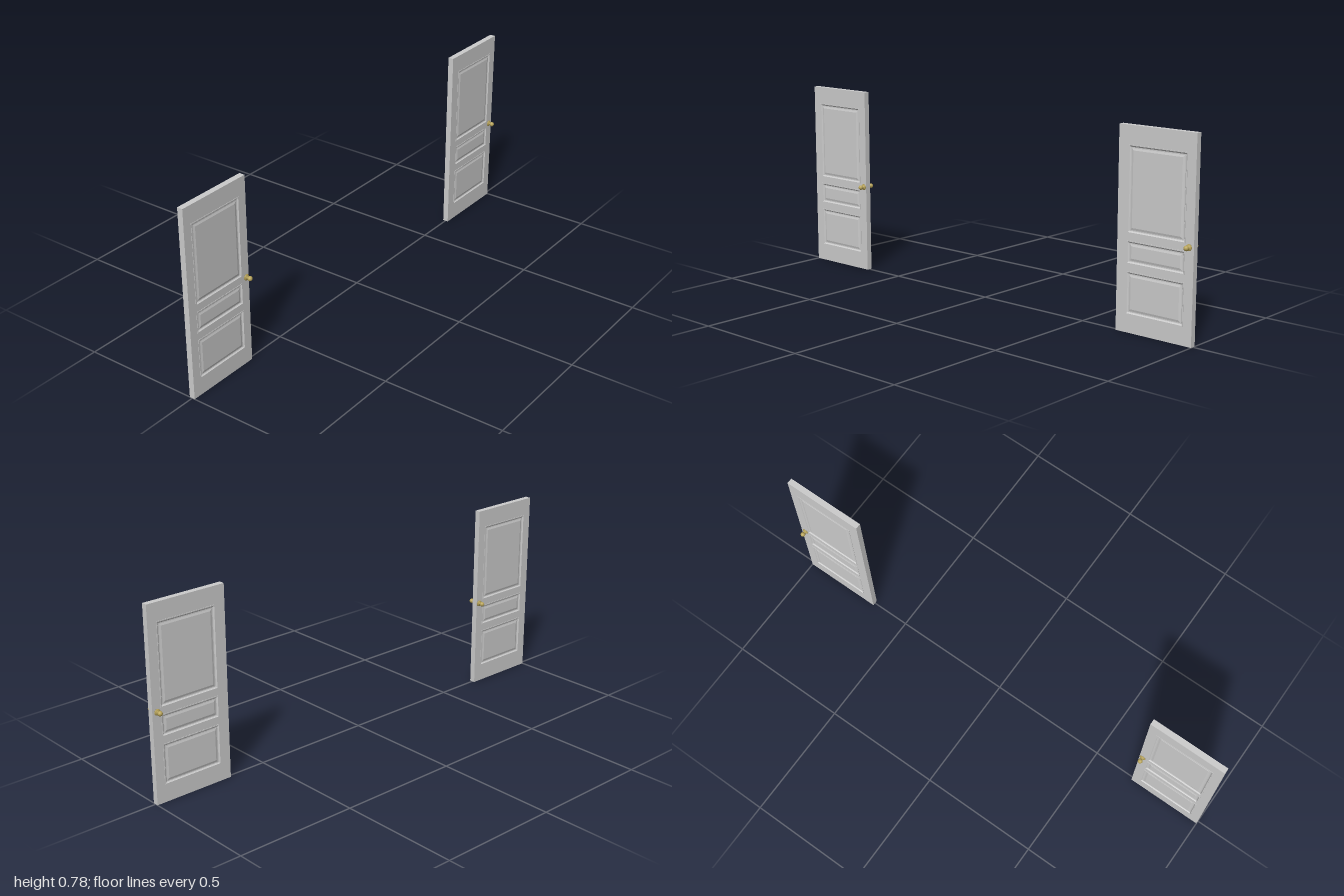
import * as THREE from 'three';

const grey = new THREE.MeshStandardMaterial({ color: 0xcccccc, flatShading: true });
const brass = new THREE.MeshStandardMaterial({ color: 0xb8a45a });

const HEIGHT = 0.776;
const HALF = 0.0118; // half the slab thickness
const KNOB_Y = 0.365;

// bottom and top of each panel opening
const PANELS = [
  ['lowerPanel', 0.07, 0.234],
  ['middlePanel', 0.262, 0.35],
  ['upperPanel', 0.377, 0.705],
];

// moulding section: [inset from the opening, distance from the door's mid-plane]
const MOULDING = [
  [0, HALF - 0.001], [0, 0.0132], [0.004, 0.0132], [0.006, 0.0105],
  [0.009, 0.0085], [0.013, 0.0085], [0.021, 0.0108],
];

const corners = (u0, v0, u1, v1) => [[u0, v0], [u1, v0], [u1, v1], [u0, v1]];

// Moulding and raised field: rectangular rings lofted inward, closed by a flat centre
function panelGeometry(width, height) {
  const pos = [];
  const idx = [];
  for (const [inset, depth] of MOULDING) {
    const a = width / 2 - inset;
    const b = height / 2 - inset;
    for (const [u, v] of corners(-a, -b, a, b)) pos.push(u, v, depth);
  }
  for (let r = 0; r < MOULDING.length - 1; r++) {
    for (let i = 0; i < 4; i++) {
      const j = (i + 1) % 4;
      const a = r * 4 + i, b = r * 4 + j;
      idx.push(a, b, b + 4, a, b + 4, a + 4);
    }
  }
  const c = (MOULDING.length - 1) * 4;
  idx.push(c, c + 1, c + 2, c, c + 2, c + 3);
  const indexed = new THREE.BufferGeometry();
  indexed.setAttribute('position', new THREE.Float32BufferAttribute(pos, 3));
  indexed.setIndex(idx);
  const geometry = indexed.toNonIndexed();
  geometry.computeVertexNormals();
  return geometry;
}

// Rose, neck and ball turned around one axis, pointing along +z
function knobGeometry() {
  const points = [
    [0, 0.011], [0.0125, 0.011], [0.0125, 0.0145], [0.0105, 0.0165],
    [0.005, 0.0175], [0.0045, 0.021],
  ].map(([r, d]) => new THREE.Vector2(r, d));
  for (let i = 0; i <= 10; i++) {
    const t = -1.1 + (i / 10) * (1.1 + Math.PI / 2);
    points.push(new THREE.Vector2(Math.max(0, 0.0098 * Math.cos(t)), 0.0296 + 0.0098 * Math.sin(t)));
  }
  return new THREE.LatheGeometry(points, 24).rotateX(Math.PI / 2);
}

// A door drawn in its own plane: u runs along the width, v is up
function createDoor(name, u0, u1, p0, p1, knobU) {
  const door = new THREE.Group();
  door.name = name;

  // stiles and rails, with an opening for each panel
  const path = (P, ...box) => new P(corners(...box).map(([u, v]) => new THREE.Vector2(u, v)));
  const outline = path(THREE.Shape, u0, 0, u1, HEIGHT);
  for (const [, v0, v1] of PANELS) outline.holes.push(path(THREE.Path, p0, v0, p1, v1));
  const frameGeometry = new THREE.ExtrudeGeometry(outline, { depth: HALF * 2, bevelEnabled: false });
  const frame = new THREE.Mesh(frameGeometry.translate(0, 0, -HALF), grey);
  frame.name = 'doorFrame';
  door.add(frame);

  const knob = knobGeometry();
  for (const [side, turn] of [['left', 0], ['right', Math.PI]]) {
    // panels on this face
    for (const [panelName, v0, v1] of PANELS) {
      const panel = new THREE.Mesh(panelGeometry(p1 - p0, v1 - v0), grey);
      panel.name = `${panelName}_${side}`;
      panel.position.set((p0 + p1) / 2, (v0 + v1) / 2, 0);
      panel.rotation.y = turn;
      door.add(panel);
    }
    // knob on this face
    const handle = new THREE.Mesh(knob, brass);
    handle.name = `knob_${side}`;
    handle.position.set(knobU, KNOB_Y, 0);
    handle.rotation.y = turn;
    door.add(handle);
  }

  // turn the door's width to run front to back
  door.rotation.y = Math.PI / 2;
  return door;
}

export function createModel() {
  const model = new THREE.Group();
  model.name = 'doorPair';
  model.add(createDoor('frontDoor', -1, -0.68, -0.964, -0.716, -0.694));
  model.add(createDoor('backDoor', 0.665, 1, 0.708, 0.963, 0.979));
  return model;
}
